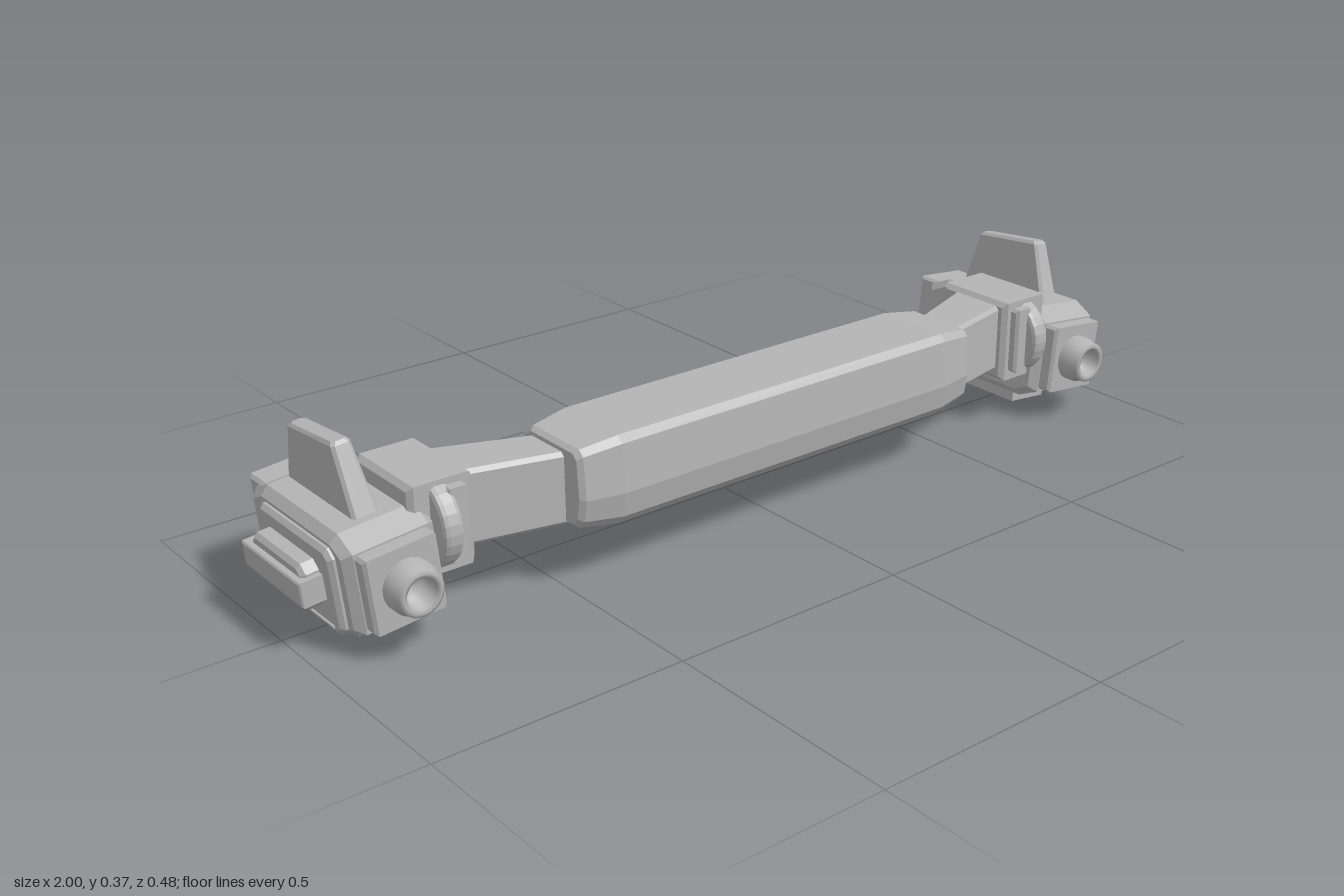
import * as THREE from 'three';

const grey = new THREE.MeshStandardMaterial({ color: 0xb4b4b4 });
grey.name = 'light grey';

function add(parent, name, geometry, x = 0, y = 0, z = 0) {
  const mesh = new THREE.Mesh(geometry, grey);
  mesh.name = name;
  mesh.position.set(x, y, z);
  parent.add(mesh);
  return mesh;
}

// Bevelled slab: outline in [z, y], thickness along x from x0 to x1
function slabX(points, x0, x1, bevel) {
  const shape = new THREE.Shape(points.map(([z, y]) => new THREE.Vector2(-z, y)));
  const g = new THREE.ExtrudeGeometry(shape, {
    depth: x1 - x0 - 2 * bevel, bevelEnabled: bevel > 0, bevelThickness: bevel,
    bevelSize: bevel, bevelOffset: -bevel, bevelSegments: 1,
  });
  return g.rotateY(Math.PI / 2).translate(x0 + bevel, 0, 0);
}

// Rectangle outline with cut corners
function cutRect(a0, a1, b0, b1, c) {
  return [[a0 + c, b0], [a1 - c, b0], [a1, b0 + c], [a1, b1 - c],
    [a1 - c, b1], [a0 + c, b1], [a0, b1 - c], [a0, b0 + c]];
}

// Bevelled block between two corners
function block(x0, x1, y0, y1, z0, z1, bevel = 0.006) {
  return slabX([[z0, y0], [z1, y0], [z1, y1], [z0, y1]], x0, x1, bevel);
}

// Skin over rings of equal length, closed by end fans; flat facets
function loft(rings) {
  const n = rings[0].length, pos = rings.flat(2), idx = [];
  for (let r = 0; r < rings.length - 1; r++) {
    for (let i = 0; i < n; i++) {
      const a = r * n + i, b = r * n + (i + 1) % n;
      idx.push(a, b, a + n, b, b + n, a + n);
    }
  }
  const e = (rings.length - 1) * n;
  for (let i = 1; i < n - 1; i++) idx.push(0, i + 1, i, e, e + i, e + i + 1);
  const g = new THREE.BufferGeometry();
  g.setAttribute('position', new THREE.Float32BufferAttribute(pos, 3));
  g.setIndex(idx);
  const flat = g.toNonIndexed();
  flat.computeVertexNormals();
  return flat;
}

// Mirrored copy across x = 0 with corner order restored
function mirrored(group) {
  const out = new THREE.Group();
  group.updateMatrixWorld(true);
  const flip = new THREE.Matrix4().makeScale(-1, 1, 1);
  group.traverse((o) => {
    if (!o.isMesh) return;
    const g = o.geometry.index ? o.geometry.toNonIndexed() : o.geometry.clone();
    g.applyMatrix4(flip.clone().multiply(o.matrixWorld));
    for (const attr of Object.values(g.attributes)) {
      const s = attr.itemSize, a = attr.array;
      for (let t = 0; t < attr.count; t += 3) {
        for (let k = 0; k < s; k++) {
          const p = (t + 1) * s + k, q = (t + 2) * s + k;
          [a[p], a[q]] = [a[q], a[p]];
        }
      }
    }
    add(out, o.name, g);
  });
  return out;
}

function buildPod() {
  const pod = new THREE.Group();
  pod.name = 'pod';
  // Housing
  add(pod, 'podBody', slabX([[0.16, 0.078], [0.115, 0.102], [-0.14, 0.102], [-0.192, 0.078],
    [-0.192, -0.078], [-0.145, -0.102], [0.11, -0.102], [0.16, -0.08]], -0.09, 0.09, 0.016));
  add(pod, 'podRear', block(-0.066, 0.066, -0.084, 0.084, -0.237, -0.17));
  add(pod, 'podFront', block(-0.072, 0.072, -0.074, 0.074, 0.14, 0.19));
  // Outer side panel and grip
  add(pod, 'sidePanel', slabX(cutRect(-0.14, 0.125, -0.092, 0.08, 0.016), 0.08, 0.103, 0.008));
  add(pod, 'gripBase', slabX(cutRect(-0.11, 0.08, -0.046, 0.046, 0.016), 0.095, 0.136, 0.008));
  add(pod, 'gripBar', block(0.1, 0.149, -0.025, 0.025, -0.124, 0.09, 0.003));
  add(pod, 'panelRib', block(0.1, 0.107, -0.079, -0.074, -0.085, 0.1, 0.001));
  // Hollow muzzle
  const muzzle = [[0, 0.005], [0.026, 0.005], [0.03, 0.05], [0.037, 0.053], [0.044, 0.049],
    [0.044, 0.032], [0.05, 0.026], [0.05, 0]].map(([r, h]) => new THREE.Vector2(r, h)).reverse();
  const barrel = new THREE.LatheGeometry(muzzle, 24);
  // Lathe outlines run upward on the outside for outward faces
  barrel.rotateX(Math.PI / 2);
  add(pod, 'muzzle', barrel, -0.003, 0, 0.186);
  // Top fin, tapering upward in both directions
  const ring = (y, z0, z1, w, dz) => {
    const top = y, c = 0.006;
    return [[-w, top, z0 + c], [-w, top + dz, z1 - c], [-w + c, top + dz, z1], [w - c, top + dz, z1],
      [w, top + dz, z1 - c], [w, top, z0 + c], [w - c, top, z0], [-w + c, top, z0]];
  };
  add(pod, 'fin', loft([ring(0.09, -0.147, 0.1, 0.026, 0), ring(0.208, -0.121, 0.05, 0.019, 0.015),
    ring(0.214, -0.115, 0.044, 0.014, 0.015)]), 0.006, 0, 0);
  // Slotted vent underneath
  const vent = new THREE.Shape([[-0.05, -0.107], [0.05, -0.107], [0.05, 0.072], [-0.05, 0.072]]
    .map((p) => new THREE.Vector2(...p)));
  for (let i = 0; i < 4; i++) {
    const z = -0.093 + i * 0.04;
    vent.holes.push(new THREE.Path([[-0.035, z], [-0.035, z + 0.03], [0.035, z + 0.03], [0.035, z]]
      .map((p) => new THREE.Vector2(...p))));
  }
  const ventGeo = new THREE.ExtrudeGeometry(vent, { depth: 0.036, bevelEnabled: false });
  add(pod, 'vent', ventGeo.rotateX(Math.PI / 2), 0, -0.097, 0);
  pod.position.set(0.85, 0.138, 0);
  pod.rotation.z = -0.1;
  return pod;
}

function buildSide() {
  const side = new THREE.Group();
  // Arm angled back from the beam
  const section = (x, z0, z1, y0, y1) => cutRect(z0, z1, y0, y1, 0.008).map(([z, y]) => [x, y, z]);
  add(side, 'arm', loft([section(0.46, 0.06, 0.165, 0.128, 0.272),
    section(0.7, -0.025, 0.11, 0.126, 0.275)].map((r) => r.slice().reverse())));
  const pad = add(side, 'armPad', slabX(cutRect(-0.012, 0.012, -0.045, 0.045, 0.006), -0.027, 0.027, 0.005),
    0.575, 0.2, 0.012);
  pad.rotation.y = 0.34;
  // Joint block
  add(side, 'joint', block(0.675, 0.805, 0.105, 0.284, -0.05, 0.135, 0.01));
  add(side, 'jointPad', block(0.695, 0.74, 0.125, 0.27, 0.12, 0.155));
  // Wheel beside the joint
  const wheel = new THREE.Shape().absarc(0, 0, 0.088, 0, Math.PI * 2);
  const wheelGeo = new THREE.ExtrudeGeometry(wheel, { depth: 0.02, curveSegments: 14,
    bevelThickness: 0.01, bevelSize: 0.01, bevelOffset: -0.01, bevelSegments: 2 });
  add(side, 'wheel', wheelGeo.rotateY(Math.PI / 2), 0.735, 0.195, 0.096);
  // Slim plate on the back of the beam
  add(side, 'backPlate', block(0.235, 0.395, 0.17, 0.24, -0.006, 0.03, 0.008));
  add(side, 'backBar', block(0.21, 0.42, 0.187, 0.223, -0.017, 0.025, 0.004));
  side.add(buildPod());
  return side;
}

export function createModel() {
  const model = new THREE.Group();
  model.name = 'model';

  // Main beam with slightly tapered ends
  const profile = [[0.008, 0.14], [0.03, 0.12], [0.195, 0.12], [0.213, 0.14], [0.222, 0.19],
    [0.214, 0.285], [0.2, 0.298], [0.035, 0.298], [0.008, 0.28]];
  const ring = (x, s) => profile.map(([z, y]) => [x, 0.209 + (y - 0.209) * s, 0.115 + (z - 0.115) * s])
    .reverse();
  add(model, 'beam', loft([ring(-0.498, 0.8), ring(-0.488, 0.88), ring(-0.41, 1),
    ring(0.41, 1), ring(0.488, 0.88), ring(0.498, 0.8)]));

  // Central latch on the back
  add(model, 'latchBase', block(-0.113, 0.113, 0.155, 0.255, -0.03, 0.03, 0.012));
  add(model, 'latchStep', block(-0.095, 0.095, 0.17, 0.24, -0.042, 0, 0.006));
  for (const y of [0.178, 0.226]) {
    add(model, 'latchRail', block(-0.083, 0.083, y - 0.008, y + 0.008, -0.077, -0.03, 0.002));
  }
  add(model, 'latchCore', block(-0.08, 0.08, 0.186, 0.218, -0.065, -0.03, 0.003));

  const left = buildSide();
  const right = mirrored(left);
  left.name = 'leftSide';
  right.name = 'rightSide';
  model.add(left, right);
  return model;
}
